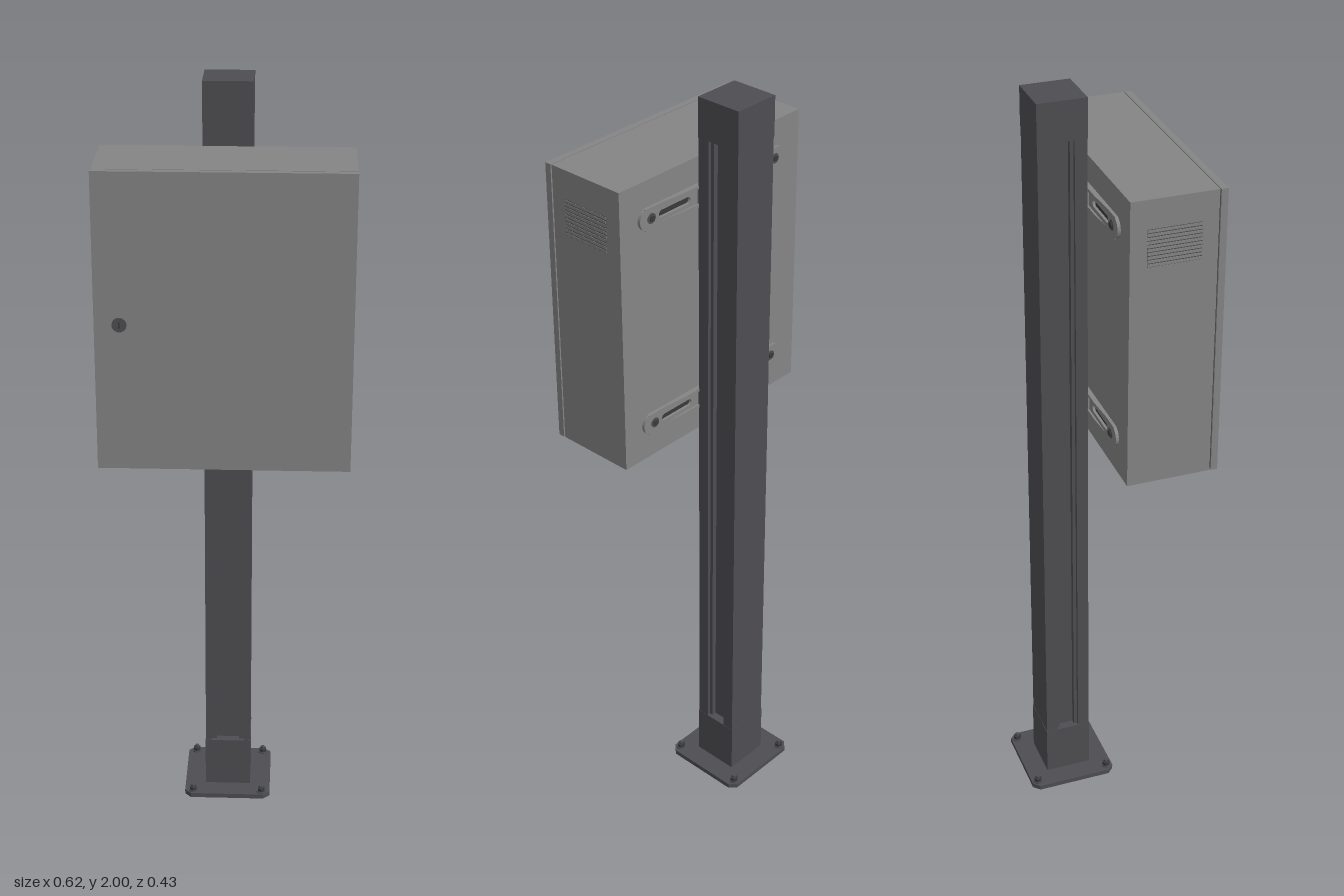
import * as THREE from 'three';

const mat = (name, color) => {
  const m = new THREE.MeshStandardMaterial({ color });
  m.name = name;
  return m;
};

export function createModel() {
  const model = new THREE.Group();
  model.name = 'postMountedCabinet';
  const grey = mat('cabinet grey', 0x858585);
  const dark = mat('post charcoal', 0x4e4e52);
  const steel = mat('fastener dark steel', 0x3a3a3d);
  const POST_Z = -0.094;

  const add = (name, geometry, material, x = 0, y = 0, z = 0, parent = model) => {
    const m = new THREE.Mesh(geometry, material);
    m.name = name;
    m.position.set(x, y, z);
    parent.add(m);
    return m;
  };
  const box = (name, material, w, h, d, x, y, z, parent) =>
    add(name, new THREE.BoxGeometry(w, h, d), material, x, y, z, parent);
  const extrude = (shape, depth) =>
    new THREE.ExtrudeGeometry(shape, { depth, bevelEnabled: false, curveSegments: 10 });
  const polygon = (pts) => new THREE.Shape(pts.map(([x, y]) => new THREE.Vector2(x, y)));
  const stadium = (Type, x0, x1, r) => {
    const s = new Type();
    s.absarc(x1 - r, 0, r, -Math.PI / 2, Math.PI / 2, false);
    s.absarc(x0 + r, 0, r, Math.PI / 2, Math.PI * 1.5, false);
    s.closePath();
    return s;
  };

  // Base plate with cut corners and an opening beneath the post
  const a = 0.118, c = 0.101;
  const plate = polygon([[-c, -a], [c, -a], [a, -c], [a, c], [c, a], [-c, a], [-a, c], [-a, -c]]);
  plate.holes.push(polygon([[-0.058, -0.058], [-0.058, 0.058], [0.058, 0.058], [0.058, -0.058]]));
  add('basePlate', extrude(plate, 0.013).rotateX(-Math.PI / 2), dark, 0, 0, POST_Z);

  // Anchor bolts: washer, hex nut and stud at each corner
  const washer = new THREE.CylinderGeometry(0.013, 0.013, 0.003, 24);
  const nut = new THREE.CylinderGeometry(0.0105, 0.0105, 0.009, 6).toNonIndexed();
  nut.computeVertexNormals();
  const stud = new THREE.CylinderGeometry(0.005, 0.005, 0.008, 16);
  for (const x of [-0.095, 0.095]) for (const z of [-0.101, 0.101]) {
    const bolt = new THREE.Group();
    bolt.name = 'anchorBolt';
    bolt.position.set(x, 0.013, POST_Z + z);
    add('washer', washer, dark, 0, 0.0015, 0, bolt);
    add('nut', nut, steel, 0, 0.0075, 0, bolt);
    add('stud', stud, dark, 0, 0.015, 0, bolt);
    model.add(bolt);
  }

  // Post: flat back, stepped channels in the front and both sides
  const h = 0.061;
  const channel = (wide, narrow) => [
    [-wide, 0], [-wide, 0.009], [-narrow, 0.009], [-narrow, 0.022],
    [narrow, 0.022], [narrow, 0.009], [wide, 0.009], [wide, 0],
  ];
  const side = channel(0.03, 0.021), front = channel(0.046, 0.031);
  const profile = [
    [-h, h], [-h, -h],
    ...front.map(([u, d]) => [u, -h + d]),
    [h, -h], ...side.map(([u, d]) => [h - d, u]),
    [h, h],
  ];
  // Close the outline by walking down the opposite side channel
  profile.splice(1, 0, ...side.map(([u, d]) => [-h + d, -u]));
  add('post', extrude(polygon(profile), 1.76).rotateX(-Math.PI / 2).scale(1, 1, -1 * -1),
    dark, 0, 0.145, POST_Z);
  box('postFoot', dark, 0.124, 0.147, 0.124, 0, 0.0795, POST_Z);
  box('postCap', dark, 0.124, 0.1, 0.124, 0, 1.95, POST_Z);

  // Cabinet body, recessed seam and door
  const cabY = 1.47, cabH = 0.75;
  box('cabinetBody', grey, 0.62, cabH, 0.216, 0, cabY, 0.087);
  box('doorSeal', steel, 0.612, cabH - 0.008, 0.005, 0, cabY, 0.1965);
  box('door', grey, 0.622, cabH, 0.017, 0, cabY, 0.2065);

  // Lock barrel with key slot
  const disc = (r, d) => new THREE.CylinderGeometry(r, r, d, 24).rotateX(Math.PI / 2);
  add('lock', disc(0.018, 0.004), dark, -0.25, cabY, 0.216);
  box('keySlot', steel, 0.004, 0.016, 0.001, -0.25, cabY, 0.2183);

  // Louvred vents on both cabinet sides
  for (const s of [-1, 1]) {
    const vent = new THREE.Group();
    vent.name = 'sideVent';
    vent.position.set(s * 0.31, 1.725, 0.088);
    box('ventPlate', dark, 0.002, 0.094, 0.134, 0, 0, 0, vent);
    for (let i = 0; i < 10; i++)
      box('ventSlat', grey, 0.004, 0.0068, 0.134, 0, -0.0425 + i * 0.00945, 0, vent);
    model.add(vent);
  }

  // Mounting brackets: slotted plate, raised rims, middle pad and bolts
  const rim = polygon([[-0.235, 0.026], [0.235, 0.026], [0.235, 0.029], [0.18, 0.029],
    [0.11, 0.034], [-0.11, 0.034], [-0.18, 0.029], [-0.235, 0.029]]);
  const rimGeo = extrude(rim, 0.008).rotateX(-Math.PI / 2);
  const strap = stadium(THREE.Shape, -0.252, 0.252, 0.0275);
  for (const s of [-1, 1]) {
    const [x0, x1] = s < 0 ? [-0.19, -0.085] : [0.085, 0.19];
    strap.holes.push(stadium(THREE.Path, x0, x1, 0.009));
  }
  const strapGeo = extrude(strap, 0.008);
  for (const y of [1.75, 1.193]) {
    const bracket = new THREE.Group();
    bracket.name = 'mountingBracket';
    bracket.position.y = y;
    add('strap', strapGeo, grey, 0, 0, -0.029, bracket);
    for (const dy of [-0.0275, 0.0195]) add('rim', rimGeo, grey, 0, dy, 0, bracket);
    box('postPad', grey, 0.12, 0.055, 0.012, 0, 0, -0.028, bracket);
    for (const s of [-1, 1]) {
      box('slotShadow', steel, 0.104, 0.017, 0.002, s * 0.1375, 0, -0.0215, bracket);
      add('boltWasher', disc(0.013, 0.002), dark, s * 0.215, 0, -0.0295, bracket);
      add('boltHead', new THREE.CylinderGeometry(0.008, 0.008, 0.004, 6).rotateX(Math.PI / 2),
        steel, s * 0.215, 0, -0.032, bracket);
    }
    model.add(bracket);
  }
  return model;
}
